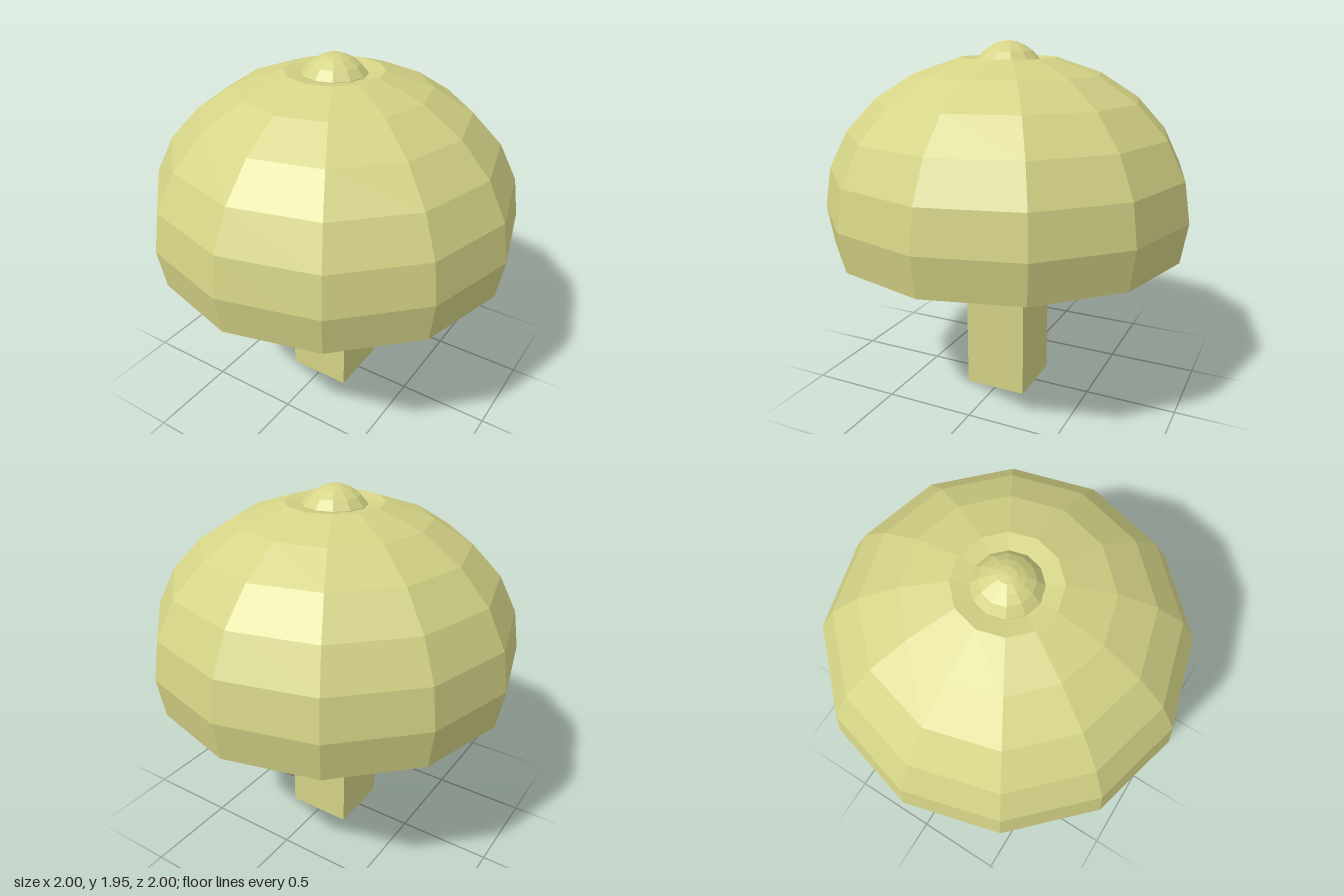
import * as THREE from 'three';

const SIDES = 12;

export function createModel() {
  const group = new THREE.Group();
  const paleOlive = new THREE.MeshStandardMaterial({ color: 0xd4d386 });
  paleOlive.name = 'paleOlive';
  paleOlive.flatShading = true;

  const add = (name, geometry) => {
    const mesh = new THREE.Mesh(geometry, paleOlive);
    mesh.name = name;
    group.add(mesh);
    return mesh;
  };
  const lathe = (points) =>
    new THREE.LatheGeometry(points.map(([r, y]) => new THREE.Vector2(r, y)), SIDES);

  // Cap: hollow cone underneath, flat rim, squashed dome in 15 degree rings, shallow dimple on top
  const cap = [[0, 1.13], [0.866, 0.86]];
  for (let deg = -15; deg <= 75; deg += 15) {
    const a = THREE.MathUtils.degToRad(deg);
    cap.push([Math.cos(a), 1.072 + 0.82 * Math.sin(a)]);
  }
  cap.push([0, 1.82]);
  add('cap', lathe(cap));

  // Small rounded knob sitting in the dimple
  add('knob', lathe([
    [0.172, 1.83], [0.17, 1.852], [0.13, 1.897], [0.086, 1.926], [0.045, 1.944], [0, 1.95],
  ]));

  // Square stem, its top buried inside the cap
  add('stem', new THREE.BoxGeometry(0.36, 1.2, 0.35)).position.y = 0.6;

  return group;
}
